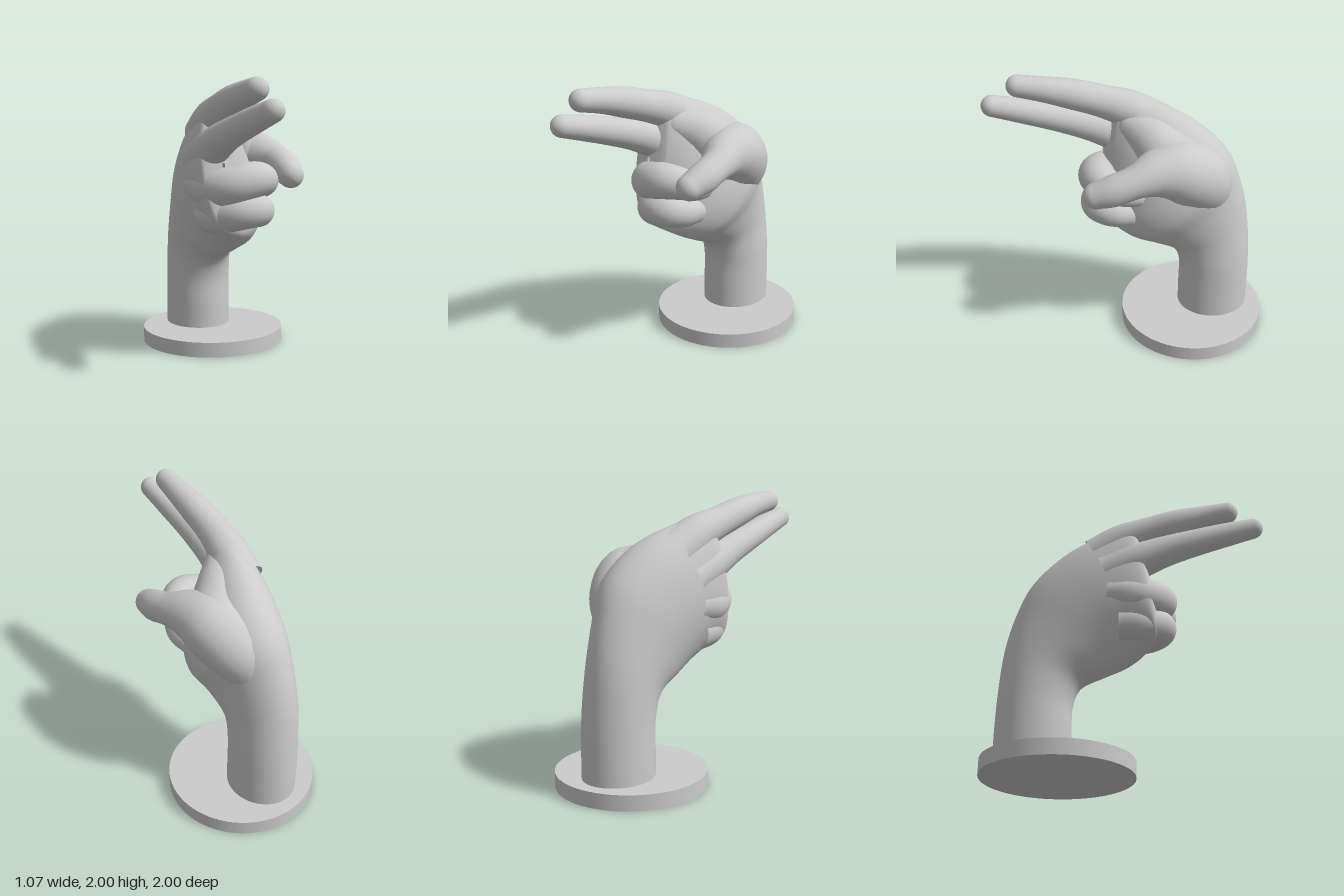
import * as THREE from 'three';

const material = new THREE.MeshStandardMaterial({ color: 0xcccccc, side: THREE.DoubleSide });

// Joins rings of equal length into one seamless smooth skin
function skin(name, rings) {
  const n = rings[0].length, index = [];
  for (let i = 0; i < rings.length - 1; i++) {
    for (let j = 0; j < n; j++) {
      const a = i * n + j, b = i * n + (j + 1) % n;
      index.push(a, b, a + n, b, b + n, a + n);
    }
  }
  const geometry = new THREE.BufferGeometry().setFromPoints(rings.flat());
  geometry.setIndex(index);
  geometry.computeVertexNormals();
  const mesh = new THREE.Mesh(geometry, material);
  mesh.name = name;
  return mesh;
}

// Round limb through [x, y, z, radius] points, with a domed tip
function limb(name, points, sides = 28, steps = 48) {
  const path = new THREE.CatmullRomCurve3(points.map(p => new THREE.Vector3(p[0], p[1], p[2])));
  const radii = new THREE.CatmullRomCurve3(points.map((p, i) => new THREE.Vector3(p[3], i, 0)), false, 'catmullrom');
  const frames = path.computeFrenetFrames(steps);
  const rings = [];
  const addRing = (centre, i, r) => {
    const ring = [];
    for (let j = 0; j < sides; j++) {
      const a = j / sides * Math.PI * 2;
      ring.push(centre.clone()
        .addScaledVector(frames.normals[i], Math.cos(a) * r)
        .addScaledVector(frames.binormals[i], Math.sin(a) * r));
    }
    rings.push(ring);
  };
  for (let i = 0; i <= steps; i++) {
    const t = path.getUtoTmapping(i / steps);
    addRing(path.getPoint(t), i, radii.getPoint(t).x);
  }
  const end = path.getPoint(1), r = points[points.length - 1][3];
  for (let k = 1; k <= 9; k++) {
    const a = k / 9 * Math.PI / 2;
    addRing(end.clone().addScaledVector(frames.tangents[steps], Math.sin(a) * r), steps, Math.max(Math.cos(a) * r, 0.0005));
  }
  return skin(name, rings);
}

// Forearm and palm: sections fan around the bent wrist.
// Each row: xMin, xMax, outer y, outer z, inner y, inner z
function armAndPalm() {
  const rows = [
    [-0.285, 0.19, 0.09, -0.905, 0.09, -0.375],
    [-0.285, 0.19, 0.30, -0.905, 0.28, -0.375],
    [-0.285, 0.188, 0.58, -0.895, 0.50, -0.372],
    [-0.29, 0.18, 0.90, -0.865, 0.645, -0.31],
    [-0.31, 0.21, 1.19, -0.795, 0.73, -0.14],
    [-0.34, 0.27, 1.45, -0.68, 0.80, 0.00],
    [-0.37, 0.22, 1.67, -0.44, 0.87, 0.12],
    [-0.38, 0.06, 1.80, -0.15, 0.92, 0.19],
    [-0.365, -0.05, 1.84, 0.02, 0.97, 0.22],
    [-0.32, -0.10, 1.72, 0.09, 1.08, 0.22],
    [-0.22, -0.20, 1.42, 0.17, 1.38, 0.18],
  ];
  const outer = new THREE.CatmullRomCurve3(rows.map(r => new THREE.Vector3(r[0], r[2], r[3])), false, 'catmullrom');
  const inner = new THREE.CatmullRomCurve3(rows.map(r => new THREE.Vector3(r[1], r[4], r[5])), false, 'catmullrom');
  const rings = [], steps = 80, sides = 56;
  for (let i = 0; i <= steps; i++) {
    const p = outer.getPoint(i / steps), q = inner.getPoint(i / steps), ring = [];
    for (let j = 0; j < sides; j++) {
      const a = j / sides * Math.PI * 2;
      const u = (1 + Math.cos(a)) / 2, v = (1 + Math.sin(a)) / 2;
      ring.push(new THREE.Vector3(
        THREE.MathUtils.lerp(p.x, q.x, u),
        THREE.MathUtils.lerp(q.y, p.y, v),
        THREE.MathUtils.lerp(q.z, p.z, v)));
    }
    rings.push(ring);
  }
  return skin('armAndPalm', rings);
}

export function createModel() {
  const model = new THREE.Group();
  model.name = 'pointingHand';

  // Round base
  const base = new THREE.Mesh(new THREE.CylinderGeometry(0.533, 0.533, 0.11, 72), material);
  base.name = 'base';
  base.position.set(0, 0.055, -0.467);
  model.add(base, armAndPalm());

  // Two straight fingers
  model.add(limb('indexFinger', [
    [-0.17, 1.60, -0.22, 0.15], [-0.20, 1.715, -0.02, 0.135], [-0.225, 1.785, 0.18, 0.113],
    [-0.235, 1.845, 0.38, 0.105], [-0.24, 1.89, 0.57, 0.088], [-0.255, 1.92, 0.745, 0.076],
  ]));
  model.add(limb('middleFinger', [
    [-0.24, 1.42, -0.15, 0.14], [-0.255, 1.51, 0.06, 0.132], [-0.26, 1.59, 0.26, 0.113],
    [-0.26, 1.66, 0.48, 0.098], [-0.25, 1.73, 0.71, 0.087], [-0.24, 1.79, 0.925, 0.074],
  ]));

  // Two fingers curled into the palm
  model.add(limb('ringFinger', [
    [-0.24, 1.25, -0.12, 0.14], [-0.245, 1.235, 0.08, 0.138], [-0.16, 1.26, 0.205, 0.135],
    [-0.01, 1.30, 0.235, 0.128], [0.095, 1.285, 0.17, 0.112], [0.125, 1.235, 0.06, 0.092],
    [0.12, 1.215, -0.02, 0.08],
  ]));
  model.add(limb('littleFinger', [
    [-0.20, 1.04, -0.05, 0.14], [-0.195, 1.045, 0.11, 0.125], [-0.10, 1.075, 0.225, 0.12],
    [0.01, 1.085, 0.23, 0.118], [0.07, 1.065, 0.14, 0.112], [0.08, 1.045, 0.02, 0.095],
  ]));

  // Thumb and the web joining it to the index finger
  model.add(limb('thumb', [
    [-0.02, 1.08, -0.56, 0.17], [0.07, 1.28, -0.47, 0.225], [0.155, 1.41, -0.31, 0.225],
    [0.22, 1.44, -0.14, 0.168], [0.275, 1.415, 0.02, 0.115], [0.277, 1.365, 0.16, 0.11],
    [0.26, 1.325, 0.275, 0.092],
  ]));
  model.add(limb('thumbWeb', [
    [0.14, 1.40, -0.36, 0.215], [0.06, 1.47, -0.25, 0.195], [-0.04, 1.56, -0.15, 0.165],
    [-0.14, 1.62, -0.04, 0.13],
  ]));

  return model;
}
